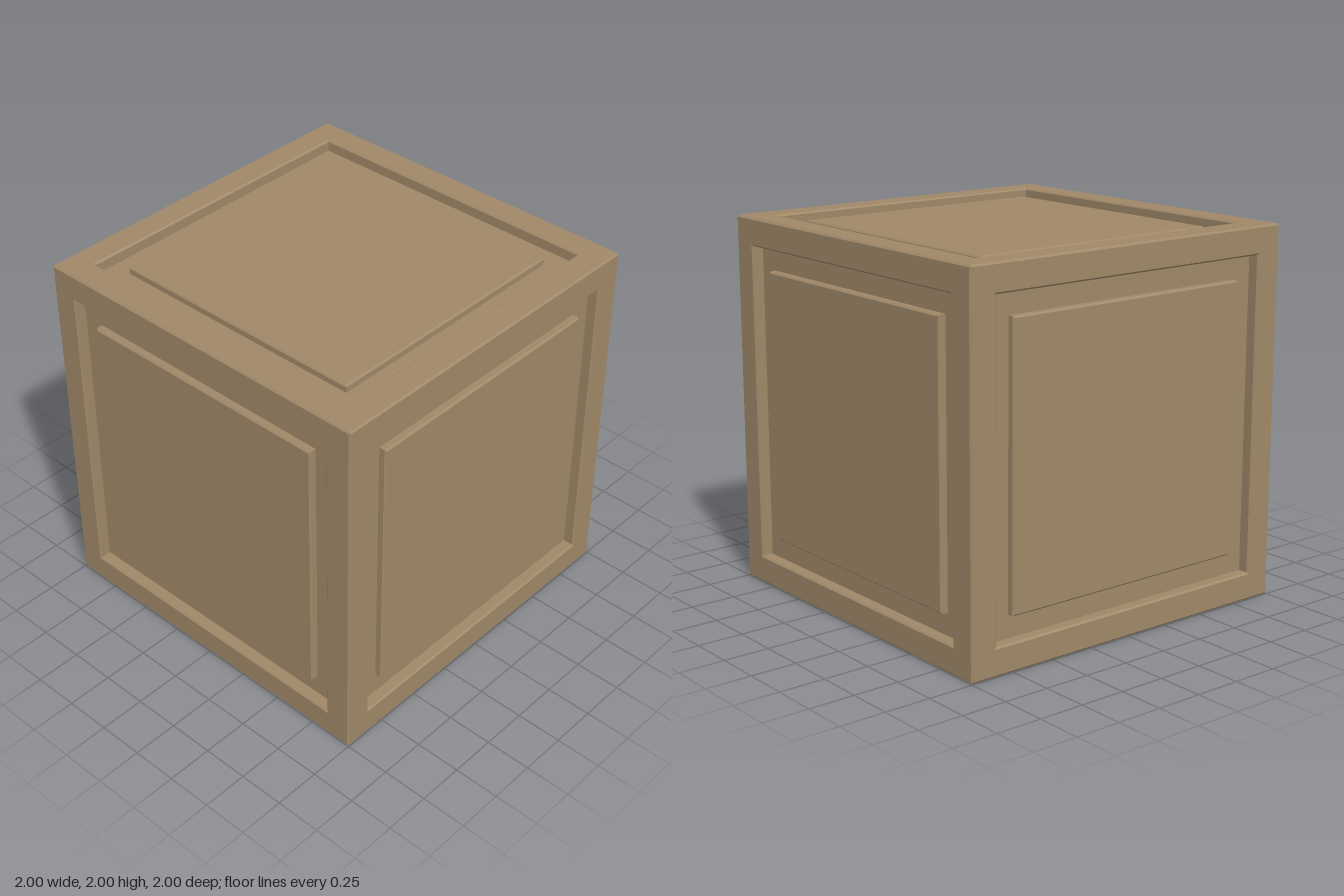
import * as THREE from 'three';

// A square stepped surface: each [halfWidth, height] pair is one square ring.
function squareLoft(rings) {
  const points = rings.map(([half, height]) => new THREE.Vector2(half * Math.SQRT2, height));
  return new THREE.LatheGeometry(points, 4, Math.PI / 4);
}

export function createModel() {
  const crate = new THREE.Group();
  crate.name = 'crate';
  const wood = new THREE.MeshStandardMaterial({ color: 0xa08868, flatShading: true });

  // Chamfered border, then down the wall of the groove and across its floor
  const frameGeometry = squareLoft([
    [0.995, 0.995], [0.99, 1], [0.859, 1], [0.85, 0.991], [0.85, 0.937], [0.731, 0.937],
  ]);
  // Raised centre panel with a chamfered rim
  const panelGeometry = squareLoft([
    [0.731, 0.937], [0.731, 0.968], [0.722, 0.977], [0, 0.977],
  ]);

  const sides = {
    top: [0, 0],
    front: [Math.PI / 2, 0],
    bottom: [Math.PI, 0],
    back: [-Math.PI / 2, 0],
    left: [0, -Math.PI / 2],
    right: [0, Math.PI / 2],
  };
  for (const [name, [rx, rz]] of Object.entries(sides)) {
    const side = new THREE.Group();
    side.name = name + 'Side';
    const frame = new THREE.Mesh(frameGeometry, wood);
    frame.name = name + 'Frame';
    const panel = new THREE.Mesh(panelGeometry, wood);
    panel.name = name + 'Panel';
    side.add(frame, panel);
    side.rotation.set(rx, 0, rz);
    side.position.y = 1;
    crate.add(side);
  }
  return crate;
}
